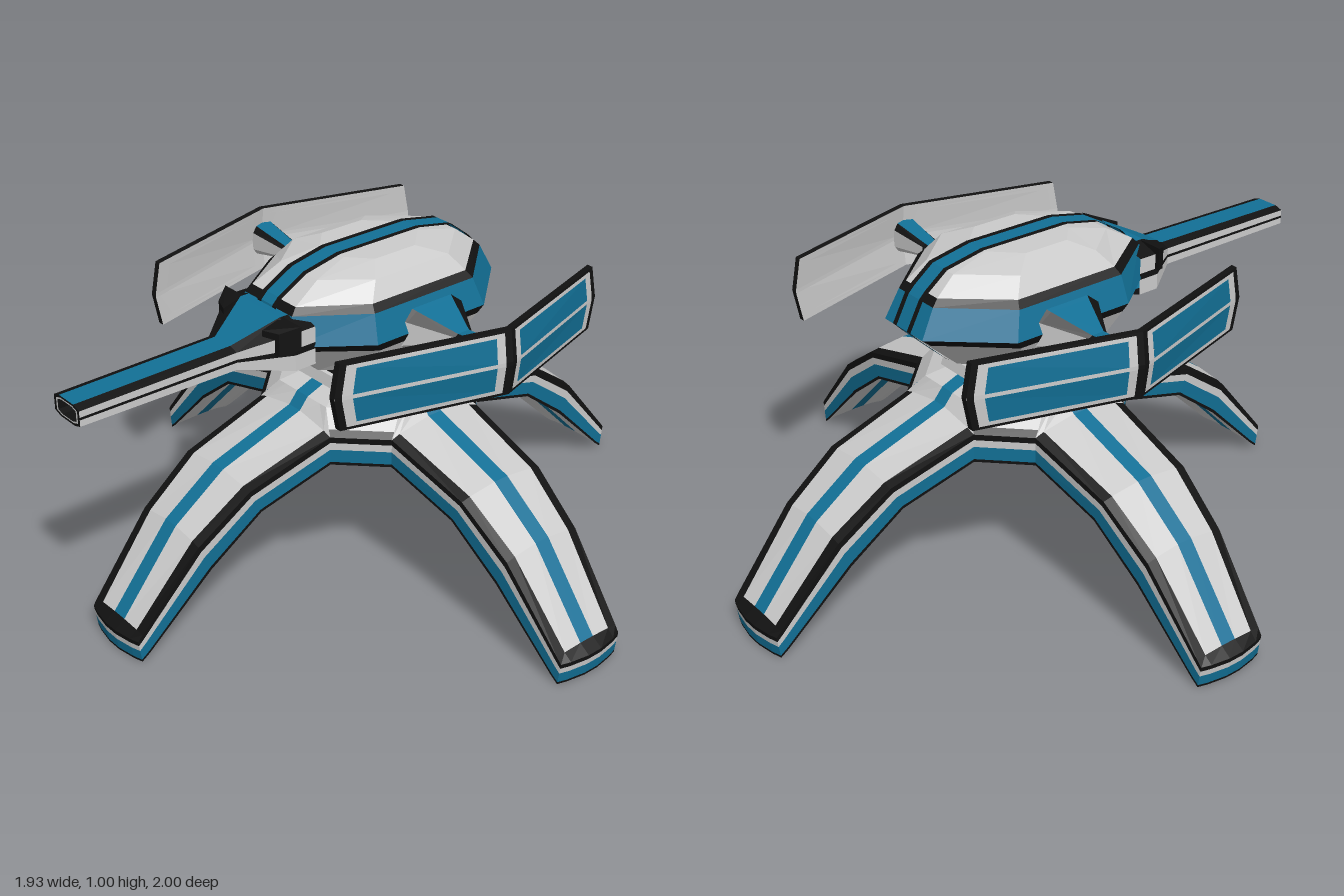
import * as THREE from 'three';

const mats = {};
for (const [name, color] of Object.entries({ grey: 0xcccccc, blue: 0x127096, black: 0x111111 })) {
  mats[name] = new THREE.MeshStandardMaterial({ color, flatShading: true, side: THREE.DoubleSide });
}

const CZ = -0.035; // centre of the walking base along z
const lerp = THREE.MathUtils.lerp;

// Adds the cells of a grid of points to a colour-sorted skin
function grid(skin, rows, color, closed = false) {
  for (let i = 0; i < rows.length - 1; i++) {
    const n = rows[i].length;
    for (let j = 0; j < (closed ? n : n - 1); j++) {
      const k = (j + 1) % n;
      const a = rows[i][j], b = rows[i][k], c = rows[i + 1][k], d = rows[i + 1][j];
      const name = typeof color === 'string' ? color : color(i, j);
      (skin[name] ??= []).push(...a, ...b, ...c, ...a, ...c, ...d);
    }
  }
}

// Turns a skin into a named group with one mesh per colour
function build(name, skin) {
  const group = new THREE.Group();
  group.name = name;
  for (const [color, pts] of Object.entries(skin)) {
    const geo = new THREE.BufferGeometry();
    geo.setAttribute('position', new THREE.Float32BufferAttribute(pts, 3));
    geo.computeVertexNormals();
    const mesh = new THREE.Mesh(geo, mats[color]);
    mesh.name = `${name} ${color}`;
    group.add(mesh);
  }
  return group;
}

const RIM = [0, 0.2, 0.45, 0.9, 1];
const RIM_COLORS = ['black', 'grey', 'blue', 'black'];

// One leg along +x with its share of the hub, including the corner to the next leg
function makeLeg() {
  const skin = {};
  // distance, half width, top edge height, lower distance, lower height, crown
  const stations = [
    [0.195, 0.08, 0.6, 0.195, 0.55, 0],
    [0.26, 0.11, 0.575, 0.26, 0.5, 0],
    [0.29, 0.165, 0.51, 0.29, 0.42, 0.03],
    [0.57, 0.15, 0.43, 0.53, 0.35, 0.018],
    [0.74, 0.135, 0.31, 0.7, 0.22, 0.018],
    [0.93, 0.117, 0.09, 0.91, 0.02, 0.005],
    [0.945, 0.115, 0.072, 0.935, 0, 0],
  ];
  const columns = ([, hw]) => [-1, -1 + 0.03 / hw, -0.025 / hw, 0.025 / hw, 1 - 0.03 / hw, 1];
  const point = (st, u, k) => {
    const [d, hw, y, db, yb, crown] = st;
    const tip = d > 0.94 ? 0.02 * (1 - u * u) : 0;
    return [lerp(d, db, k) + tip, lerp(y, yb, k) + crown * (1 - u * u), u * hw];
  };
  const surface = k => stations.map(st => columns(st).map(u => point(st, u, k)));
  // top with black border and blue stripe, then the plain underside
  grid(skin, surface(0), (i, j) =>
    i === 5 || (i > 1 && (j === 0 || j === 4)) ? 'black' : j === 2 ? 'blue' : 'grey');
  grid(skin, surface(1), (i, j) => j === 2 ? 'blue' : 'grey');
  // striped rim round both sides and the tip
  const run = stations.slice(2);
  const tip = run[run.length - 1];
  const outline = [
    ...run.map(st => [st, -1]),
    ...columns(tip).slice(1, -1).map(u => [tip, u]),
    ...run.slice().reverse().map(st => [st, 1]),
  ];
  grid(skin, RIM.map(k => outline.map(([st, u]) => point(st, u, k))), i => RIM_COLORS[i]);
  // bevelled hub corner
  const corner = (a, b, y) => [[a, y, b], [b, y, a]];
  grid(skin, [corner(0.195, 0.08, 0.6), corner(0.26, 0.11, 0.575), corner(0.283, 0.15, 0.528),
    corner(0.29, 0.165, 0.51)], i => i === 2 ? 'black' : 'grey');
  grid(skin, RIM.map(k => corner(0.29, 0.165, lerp(0.51, 0.42, k))), i => RIM_COLORS[i]);
  grid(skin, [corner(0.195, 0.08, 0.55), corner(0.26, 0.11, 0.5), corner(0.29, 0.165, 0.42)], 'grey');
  return build('leg', skin);
}

function makeBody() {
  const skin = {};
  // half width, front z, back z, height
  const levels = [
    [0.12, 0.12, -0.17, 0.66], [0.21, 0.24, -0.31, 0.695], [0.255, 0.33, -0.41, 0.79],
    [0.265, 0.36, -0.44, 0.815], [0.24, 0.34, -0.395, 0.9], [0.22, 0.32, -0.375, 0.92],
    [0.185, 0.23, -0.31, 0.97], [0.12, 0.11, -0.18, 0.995],
  ];
  const ring = ([x, zf, zb, y]) => {
    const half = [[0.45 * x, y, zf], [x, y, zf * 0.45], [x, y, zb * 0.55], [0.34 * x, y, zb]];
    return [...half, ...half.map(([a, b, c]) => [-a, b, c]).reverse()];
  };
  const flat = (y) => Array(8).fill([0, y, -0.03]);
  const colors = ['grey', 'grey', 'grey', 'black', 'blue', 'black', 'grey', 'grey', 'grey'];
  grid(skin, [flat(0.66), ...levels.map(ring), flat(0.997)], i => colors[i], true);
  // blue ridge stripe with black edges, running from nose to tail
  const path = [
    ...levels.slice(3).map(l => [l[3] + 0.006, l[1] + 0.004]),
    ...levels.slice(1).reverse().map(l => [l[3] + (l[3] > 0.8 ? 0.006 : 0), l[2] - 0.006]),
  ];
  grid(skin, path.map(([y, z]) => [-0.042, -0.025, 0.025, 0.042].map(x => [x, y, z])),
    (i, j) => j === 1 ? 'blue' : 'black');
  return build('turretBody', skin);
}

function makeCannon() {
  const skin = {};
  // section: blue top and bottom, black bevels, grey sides with a black line
  const section = (w, y0, y1, z) => {
    const m = (y0 + y1) / 2, h = (y1 - y0) / 2;
    const half = [[0.56, 1], [1, 0.72], [1, 0.12], [1, -0.12], [1, -0.72], [0.56, -1]];
    return [...half, ...half.map(([a, b]) => [-a, b]).reverse()].map(([a, b]) => [a * w, m + b * h, z]);
  };
  const band = (i, j) => ['black', 'grey', 'black', 'grey', 'black', 'blue'][j % 6];
  grid(skin, [section(0.16, 0.74, 0.9, 0.3), section(0.16, 0.74, 0.9, 0.37),
    section(0.065, 0.762, 0.835, 0.5), section(0.062, 0.765, 0.828, 1)], band, true);
  // muzzle face and bore
  grid(skin, [section(0.062, 0.765, 0.828, 1), section(0.052, 0.771, 0.822, 1),
    section(0.045, 0.775, 0.818, 1), section(0.045, 0.775, 0.818, 0.93), section(0, 0.797, 0.797, 0.93)],
    i => i === 1 ? 'grey' : 'black', true);
  // pointed shoulder guards at the mount
  for (const s of [-1, 1]) {
    const guard = y => [[s * 0.175, y, 0.36], [s * 0.09, y, 0.36], [s * 0.09, y - 0.02, 0.43], [s * 0.14, y - 0.02, 0.41]];
    grid(skin, [guard(0.9), guard(0.83)], 'black', true);
    const [a, b, c, d] = guard(0.9);
    grid(skin, [[a, b], [d, c]], 'black');
  }
  return build('cannon', skin);
}

// Arm joining the body to the shield on side s
function makeArm(s) {
  const skin = {};
  // x, half depth, half height
  const rows = [[0.22, 0.13, 0.075], [0.26, 0.105, 0.06], [0.38, 0.032, 0.02], [0.41, 0.03, 0.022], [0.56, 0.045, 0.05]]
    .map(([x, d, h]) => [[0.65, 1], [1, 0.6], [1, -0.6], [0.65, -1], [-0.65, -1], [-1, -0.6], [-1, 0.6], [-0.65, 1]]
      .map(([a, b]) => [s * x, 0.812 + b * h, -0.053 + a * d]));
  grid(skin, rows, (i, j) => j === 7 ? 'blue' : i === 2 || j === 0 || j === 6 ? 'black' : 'grey', true);
  return build('shieldArm', skin);
}

// One half of a swept shield; dir gives the front or back wing
function makeShield(s, dir) {
  const skin = {};
  const S = [0, 0.04, 0.09, 0.9, 0.96, 1], T = [-1, -0.92, -0.8, -0.06, 0.06, 0.8, 0.92, 1];
  const length = dir > 0 ? 0.485 : 0.465;
  const at = (u, t, depth) => [
    s * (lerp(0.578, 0.425, u) - 0.014 * Math.abs(t) * (1 - u) - depth),
    0.81 + 0.1 * t,
    -0.055 + dir * u * (length + 0.02 * (1 - Math.abs(t))),
  ];
  const face = depth => S.map(u => T.map(t => at(u, t, depth)));
  grid(skin, face(0), (i, j) => {
    if (i === 0 || i === 4 || j === 0 || j === 6) return 'black';
    return i === 2 && (j === 2 || j === 4) ? 'blue' : 'grey';
  });
  grid(skin, face(0.02), 'grey');
  // black edge
  const loop = [...T.map(t => [0, t]), [1, 1], [1, 0], [1, -1]];
  grid(skin, [0, 0.02].map(k => loop.map(([u, t]) => at(u, t, k))), 'black', true);
  return build(dir > 0 ? 'frontShield' : 'rearShield', skin);
}

export function createModel() {
  const model = new THREE.Group();
  model.name = 'walkerTurret';

  // four legs around the hub
  const base = new THREE.Group();
  base.name = 'base';
  base.position.z = CZ;
  for (let i = 0; i < 4; i++) {
    const leg = makeLeg();
    leg.rotation.y = i * Math.PI / 2;
    base.add(leg);
  }

  // octagonal collar: lower radius, upper radius, bottom, top, colour
  for (const [r0, r1, y0, y1, color] of [
    [0.215, 0.22, 0.59, 0.608, 'black'], [0.235, 0.225, 0.608, 0.642, 'grey'], [0.21, 0.2, 0.642, 0.665, 'black'],
  ]) {
    const ring = new THREE.Mesh(new THREE.CylinderGeometry(r1, r0, y1 - y0, 8), mats[color]);
    ring.name = 'collar';
    ring.position.y = (y0 + y1) / 2;
    ring.rotation.y = Math.PI / 8;
    base.add(ring);
  }
  model.add(base, makeBody(), makeCannon());

  // mirrored arms and shields
  for (const s of [1, -1]) model.add(makeArm(s), makeShield(s, 1), makeShield(s, -1));
  return model;
}
